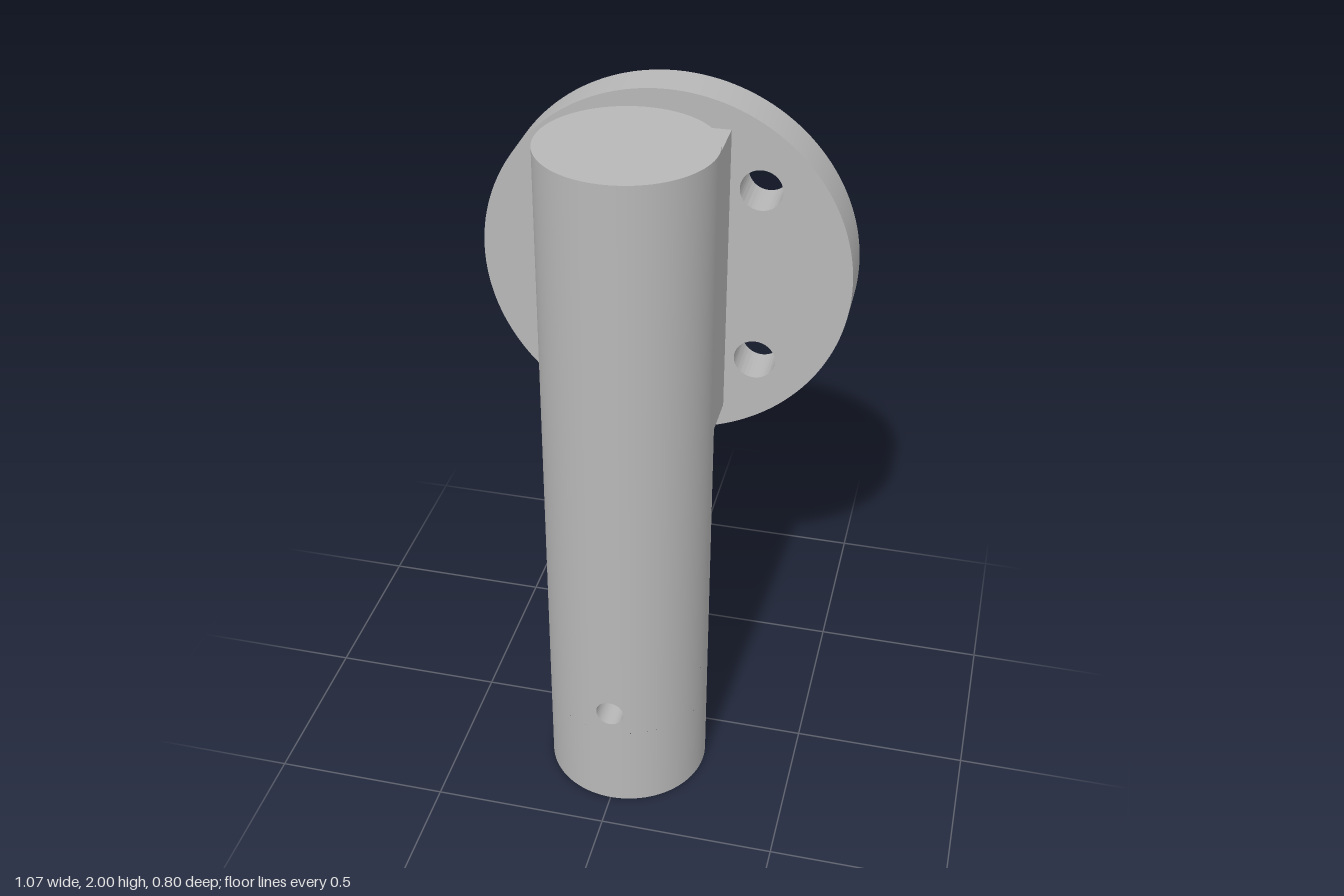
import * as THREE from 'three';
import { mergeGeometries, toCreasedNormals } from 'three/addons/utils/BufferGeometryUtils.js';

const R = 0.233, BORE = 0.141, BORE_TOP = 0.67, AXIS_Z = 0.167; // post
const PIN_Y = 0.335, PIN_R = 0.04, PATCH = 0.07;                // cross hole and the square patch round it
const HUB_Y = 1.435, HUB_R = 0.16;                              // flange centre and its blind hole

// One straight profile line turned about y (upward faces out, downward faces in)
function turned(r0, y0, r1, y1, phi = 0, length = Math.PI * 2) {
  const pts = [new THREE.Vector2(r0, y0), new THREE.Vector2(r1, y1)];
  return new THREE.LatheGeometry(pts, Math.ceil(96 * length / (Math.PI * 2)), phi, length);
}

// Rings of points round the cross hole; place(t, s) gives position and normal
function rings(place, steps, flip = false) {
  const n = 48, pos = [], nor = [], uv = [], idx = [];
  for (let j = 0; j <= steps; j++) {
    for (let i = 0; i <= n; i++) {
      const [p, q] = place(i / n * Math.PI * 2, j / steps);
      pos.push(...p);
      nor.push(...q);
      uv.push(i / n, j / steps);
      if (i < n && j < steps) {
        const a = j * (n + 1) + i, b = a + n + 1;
        idx.push(...(flip ? [a, b + 1, b, a, a + 1, b + 1] : [a, b, b + 1, a, b + 1, a + 1]));
      }
    }
  }
  const g = new THREE.BufferGeometry();
  g.setAttribute('position', new THREE.Float32BufferAttribute(pos, 3));
  g.setAttribute('normal', new THREE.Float32BufferAttribute(nor, 3));
  g.setAttribute('uv', new THREE.Float32BufferAttribute(uv, 2));
  g.setIndex(idx);
  return g;
}

// Curved square patch of a cylinder with the round hole in it
function holedPatch(r, inward) {
  const sign = inward ? -1 : 1;
  return rings((t, s) => {
    const c = Math.cos(t), d = Math.sin(t);
    const rim = PATCH / Math.max(Math.abs(c), Math.abs(d));
    const rho = PIN_R + (rim - PIN_R) * s;
    const x = rho * c, z = Math.sqrt(r * r - x * x);
    return [[x, PIN_Y + rho * d, z], [sign * x / r, 0, sign * z / r]];
  }, 5, inward);
}

// Cylinder wall with a hole at front and back
function drilledWall(r, top, inward) {
  const lo = PIN_Y - PATCH, hi = PIN_Y + PATCH, a = Math.asin(PATCH / r);
  const wall = (y0, y1, ...arc) => inward ? turned(r, y1, r, y0, ...arc) : turned(r, y0, r, y1, ...arc);
  const parts = [wall(0, lo), wall(hi, top)];
  for (const turn of [0, Math.PI]) {
    parts.push(wall(lo, hi, turn + a, Math.PI - 2 * a));
    parts.push(holedPatch(r, inward).rotateY(turn));
  }
  return mergeGeometries(parts);
}

// Wall of the cross hole from the bore to the outside
function pinHoleWall() {
  return rings((t, s) => {
    const x = PIN_R * Math.cos(t), y = PIN_R * Math.sin(t);
    const inner = Math.sqrt(BORE * BORE - x * x), outer = Math.sqrt(R * R - x * x);
    return [[x, PIN_Y + y, inner + (outer - inner) * s], [-Math.cos(t), -Math.sin(t), 0]];
  }, 1);
}

function addHole(shape, x, y, r) {
  shape.holes.push(new THREE.Path().absarc(x, y, r, 0, Math.PI * 2, true));
}

function plate(shape, depth) {
  const g = new THREE.ExtrudeGeometry(shape, { depth, bevelEnabled: false, curveSegments: 72 });
  return toCreasedNormals(g, 0.5);
}

export function createModel() {
  const model = new THREE.Group();
  model.name = 'flangedPost';
  const grey = new THREE.MeshStandardMaterial({ color: 0xb8b8b8 });
  grey.name = 'plain grey';
  const add = (parent, name, geometry, x, y, z) => {
    const mesh = new THREE.Mesh(geometry, grey);
    mesh.name = name;
    mesh.position.set(x, y, z);
    parent.add(mesh);
  };

  // Post with blind bore from below and a cross hole
  const post = new THREE.Group();
  post.name = 'post';
  post.position.z = AXIS_Z;
  model.add(post);
  add(post, 'postWall', drilledWall(R, 2, false), 0, 0, 0);
  add(post, 'postTop', turned(R, 2, 0, 2), 0, 0, 0);
  add(post, 'postBottomRing', turned(BORE, 0, R, 0), 0, 0, 0);
  add(post, 'boreWall', drilledWall(BORE, BORE_TOP, true), 0, 0, 0);
  add(post, 'boreEnd', turned(0, BORE_TOP, BORE, BORE_TOP), 0, 0, 0);
  for (const turn of [0, Math.PI]) add(post, 'crossHole', pinHoleWall().rotateY(turn), 0, 0, 0);

  // Block joining post and flange; its back layer holds the end of the hub hole
  const holeEnd = -0.22;
  add(model, 'block', new THREE.BoxGeometry(0.36, 0.87, 0.1 - holeEnd), 0, HUB_Y, (0.1 + holeEnd) / 2);
  const layer = new THREE.Shape([[-1, -1], [1, -1], [1, 1], [-1, 1]]
    .map(([x, y]) => new THREE.Vector2(x * 0.18, y * 0.435)));
  addHole(layer, 0, 0, HUB_R);
  add(model, 'blockBackLayer', plate(layer, holeEnd + 0.267), 0, HUB_Y, -0.267);

  // Round flange with hub hole and four bolt holes
  const disc = new THREE.Shape().absarc(0, 0, 0.533, 0, Math.PI * 2);
  addHole(disc, 0, 0, HUB_R);
  for (const x of [-0.267, 0.267]) {
    for (const y of [-0.267, 0.267]) addHole(disc, x, y, 0.06);
  }
  add(model, 'flange', plate(disc, 0.133), 0, HUB_Y, -0.4);

  return model;
}
